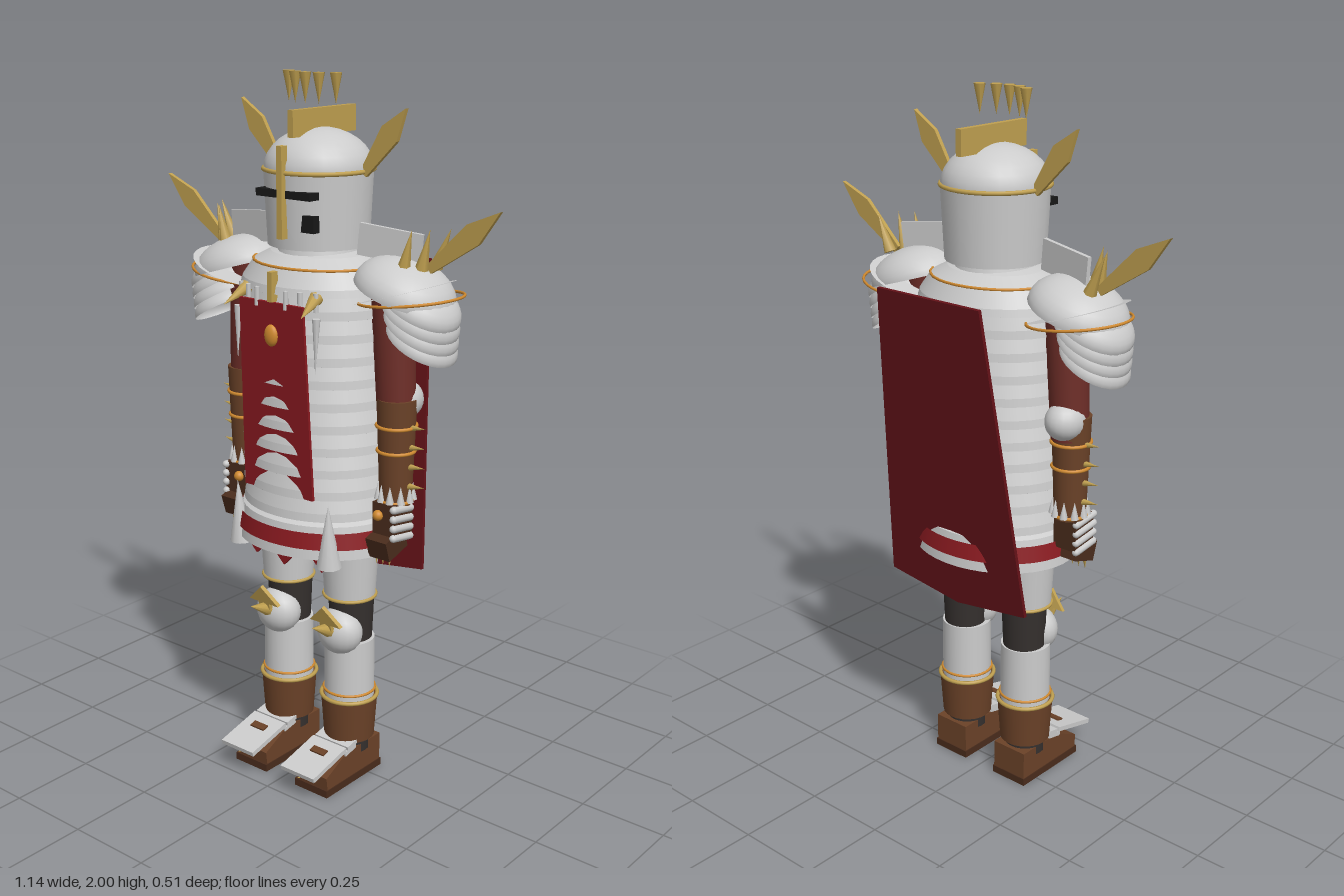
import * as THREE from 'three';

const mat = (color) => new THREE.MeshStandardMaterial({ color, side: THREE.DoubleSide });
const steel = mat(0xcccccc), gold = mat(0xc0a050), orange = mat(0xd08a30), red = mat(0x8a1a20),
  darkRed = mat(0x641218), sleeve = mat(0x6e2e28), leather = mat(0x6b4228), darkLeather = mat(0x4a2c1c),
  cloth = mat(0x35302e), black = mat(0x181818);
const V = (x, y, z) => new THREE.Vector3(x, y, z);

export function createModel() {
  const model = new THREE.Group();
  model.name = 'armouredWarrior';

  const add = (name, geo, material, x = 0, y = 0, z = 0, rx = 0, ry = 0, rz = 0) => {
    const m = new THREE.Mesh(geo, material);
    m.name = name;
    m.position.set(x, y, z);
    m.rotation.set(rx, ry, rz);
    model.add(m);
    return m;
  };
  const box = (w, h, d) => new THREE.BoxGeometry(w, h, d);
  const ball = (r) => new THREE.SphereGeometry(r, 20, 14);
  // Upright tapered tube from y0 to y1
  const tube = (name, material, x, z, y0, y1, r0, r1) =>
    add(name, new THREE.CylinderGeometry(r1, r0, y1 - y0, 24), material, x, (y0 + y1) / 2, z);
  const ring = (name, material, x, y, z, r, t = 0.005) =>
    add(name, new THREE.TorusGeometry(r, t, 8, 32), material, x, y, z, Math.PI / 2);
  // Cone from a base point to a tip
  const spike = (name, material, base, tip, r, sides = 8) => {
    const dir = tip.clone().sub(base);
    const m = add(name, new THREE.ConeGeometry(r, dir.length(), sides), material);
    m.position.copy(base).addScaledVector(dir, 0.5);
    m.quaternion.setFromUnitVectors(V(0, 1, 0), dir.normalize());
    return m;
  };
  // Flat plate cut from an outline, centred in depth
  const plate = (points, depth) => {
    const shape = new THREE.Shape(points.map(([x, y]) => new THREE.Vector2(x, y)));
    return new THREE.ExtrudeGeometry(shape, { depth, bevelEnabled: false }).translate(0, 0, -depth / 2);
  };

  // Torso of overlapping bands, each flaring at its lower edge
  const profile = [[0.215, 0.72], [0.25, 0.72], [0.246, 0.75], [0.232, 0.81]];
  const bands = 10, y0 = 0.82, step = 0.062;
  for (let i = 0; i < bands; i++) {
    const y = y0 + i * step;
    profile.push([0.212, y], [0.227, y + 0.002], [0.224, y + 0.025], [0.212, y + step - 0.001]);
  }
  profile.push([0.228, 1.44], [0.222, 1.46], [0.19, 1.505], [0.14, 1.53], [0.1, 1.54], [0, 1.54]);
  // A doubled point at every corner keeps the band edges crisp
  const crisp = profile.flatMap(([r, y]) => [new THREE.Vector2(r, y), new THREE.Vector2(r, y + 1e-5)]);
  add('bandedTorso', new THREE.LatheGeometry(crisp, 40), steel, 0, 0, 0.015).scale.z = 0.84;
  const belt = add('redBelt', new THREE.CylinderGeometry(0.243, 0.253, 0.045, 40, 1, true), red, 0, 0.772, 0.015);
  belt.scale.z = 0.84;
  const collar = ring('collarTrim', orange, 0, 1.505, 0.015, 0.19, 0.004);
  collar.scale.y = 0.84;

  // Cloth points hanging below the skirt
  for (const z of [0.165, -0.13])
    for (const x of [-0.12, 0, 0.12]) {
      const p = add('skirtPoint', plate([[-0.06, 0.06], [0.06, 0.06], [0, 0]], 0.008), red, x, 0.665, z);
      if (x) p.position.z -= 0.02;
    }

  // Front and back tabards, and the long cape
  const tabard = plate([[-0.11, 1.42], [0.11, 1.42], [0.122, 0.885], [-0.122, 0.885]], 0.008).translate(0, -1.42, 0);
  add('frontTabard', tabard, red, 0, 1.42, 0.21, 0.047);
  add('backTabard', tabard, red, 0, 1.42, -0.18, -0.025);
  const cape = plate([[-0.18, 0], [0.18, 0], [0.25, -0.88], [0, -0.916], [-0.25, -0.88]], 0.01);
  add('cape', cape, darkRed, 0, 1.49, -0.252, -0.12);

  // Chest fittings
  add('tabardGem', ball(0.022), orange, 0, 1.33, 0.212).scale.set(1, 1.35, 0.6);
  add('chestBar', box(0.016, 0.08, 0.025), gold, 0, 1.46, 0.205);
  for (const x of [-0.13, -0.09, -0.05, 0.05, 0.09, 0.13])
    add('chestStud', new THREE.CylinderGeometry(0.007, 0.007, 0.05, 8), steel, x, 1.43, 0.215 - x * x * 1.9);

  // Helmet with dome, brow band, eye slit and crest
  tube('neck', steel, 0, 0.015, 1.5, 1.58, 0.12, 0.1);
  tube('helmet', steel, 0, 0.015, 1.55, 1.75, 0.138, 0.148);
  add('helmetDome', new THREE.SphereGeometry(0.148, 24, 8, 0, Math.PI * 2, 0, Math.PI / 2), steel, 0, 1.75, 0.015)
    .scale.y = 0.73;
  ring('browBand', gold, 0, 1.75, 0.015, 0.148, 0.006);
  add('faceBar', box(0.018, 0.24, 0.022), gold, 0, 1.70, 0.165);
  add('eyeSlit', box(0.185, 0.02, 0.05), black, 0, 1.695, 0.138);
  add('breathHole', box(0.052, 0.045, 0.04), black, 0.065, 1.622, 0.126);
  add('crest', box(0.018, 0.07, 0.26), gold, 0, 1.872, 0);
  for (let i = -2; i <= 2; i++) {
    const z = 0.07 - 0.007 * i * i;
    spike('crownSpike', gold, V(i * 0.04, 2, z), V(i * 0.04, 1.92, z), 0.016);
  }

  for (const s of [1, -1]) {
    const P = (x, y, z) => V(s * x, y, z);
    // Flat pointed blade used for the horns and shoulders
    const blade = (name, x, y, angle, L) => {
      const pts = [[0, -0.012], [0.62 * L, -0.03], [L, 0], [0.62 * L, 0.03], [0, 0.012]];
      add(name, plate(pts, 0.012), gold, s * x, y, 0.005, 0, 0, s > 0 ? angle : Math.PI - angle);
    };
    blade('helmetHorn', 0.145, 1.745, 0.91, 0.22);
    blade('shoulderBlade', 0.36, 1.52, 0.67, 0.27);

    // Shoulder armour: tilted dome over four lames, gold edged
    const dome = (r) => new THREE.SphereGeometry(r, 28, 8, 0, Math.PI * 2, 0, Math.PI / 2);
    add('pauldron', dome(0.142), steel, s * 0.287, 1.452, 0.012, 0, 0, -s * 0.3).scale.set(1, 0.62, 0.92);
    add('pauldronUnderside', new THREE.CircleGeometry(0.14, 28), steel, s * 0.287, 1.452, 0.012, Math.PI / 2, s * 0.3);
    const rim = ring('pauldronTrim', orange, s * 0.3, 1.435, 0, 0.142, 0.004);
    rim.rotation.y = s * 0.12;
    rim.scale.y = 0.95;
    for (let i = 0; i < 4; i++)
      add('shoulderLame', dome(0.118 - 0.005 * i), steel, s * (0.335 + 0.003 * i), 1.425 - 0.033 * i, 0.012, 0, 0, -s * 0.5)
        .scale.set(1, 0.55, 0.95);
    for (const [x, z, tx] of [[0.355, -0.03, 0.4], [0.345, 0.02, 0.37], [0.31, 0.05, 0.335]])
      spike('shoulderSpike', gold, P(x, 1.52, z), P(tx, 1.625, z), 0.018, 6);
    add('neckGuard', box(0.18, 0.085, 0.012), steel, s * 0.24, 1.572, 0.015, 0, s * 0.2, -s * 0.1);

    // Chest spikes and hip cones
    spike('chestSpike', gold, P(0.12, 1.44, 0.17), P(0.135, 1.4, 0.25), 0.02);
    spike('chestPin', steel, P(0.137, 1.39, 0.19), P(0.137, 1.24, 0.195), 0.011);
    spike('hipCone', steel, P(0.16, 0.7, 0.165), P(0.165, 0.88, 0.175), 0.035, 12);

    // Arm: sleeve, elbow cop and bracer
    const upper = tube('upperArm', sleeve, s * 0.258, 0.012, 1.1, 1.48, 0.052, 0.06);
    upper.rotation.z = s * 0.05;
    add('elbowCop', ball(0.058), steel, s * 0.27, 1.155, -0.01).scale.set(0.92, 0.95, 1.1);
    tube('bracer', leather, s * 0.27, 0.015, 0.87, 1.165, 0.044, 0.055);
    for (const [y, r] of [[1.09, 0.054], [1.02, 0.051], [0.88, 0.046]]) ring('bracerBand', orange, s * 0.27, y, 0.015, r, 0.005);
    for (const y of [1.09, 1.035, 0.98, 0.925])
      spike('bracerSpike', gold, P(0.312, y, 0.015), P(0.365, y + 0.005, 0.015), 0.01);
    for (let i = 0; i < 10; i++) {
      const a = (i / 10) * Math.PI * 2, c = Math.cos(a) * 0.047, d = 0.015 + Math.sin(a) * 0.047;
      spike('cuffTooth', steel, V(s * 0.27 + c, 0.88, d), V(s * 0.27 + c, 0.93, d), 0.012, 6);
    }

    // Gauntlet with knuckle plates, gem and fingertip claws
    add('hand', box(0.075, 0.1, 0.08), darkLeather, s * 0.272, 0.83, 0.03);
    add('fingers', box(0.07, 0.06, 0.085), darkLeather, s * 0.268, 0.765, 0.05, 0.3);
    for (let i = 0; i < 4; i++)
      add('knucklePlate', new THREE.CapsuleGeometry(0.011, 0.075, 4, 10), steel, s * 0.307, 0.865 - i * 0.027, 0.035, Math.PI / 2 - 0.15);
    add('gauntletGem', ball(0.015), orange, s * 0.255, 0.845, 0.073);
    for (let i = 0; i < 3; i++)
      spike('claw', gold, P(0.245 + i * 0.022, 0.74, 0.06), P(0.245 + i * 0.022, 0.7, 0.065), 0.007, 6);

    // Leg: thigh plate, padded knee and greave
    const lx = s * 0.115;
    tube('thighPlate', steel, lx, 0.017, 0.56, 0.78, 0.073, 0.086);
    ring('thighTrim', gold, lx, 0.562, 0.017, 0.074);
    tube('kneePadding', cloth, lx, 0.01, 0.42, 0.56, 0.06, 0.066);
    add('kneeCop', ball(0.068), steel, lx, 0.46, 0.062).scale.set(1.03, 1, 0.85);
    spike('kneeSpike', gold, V(lx, 0.475, 0.1), V(lx, 0.51, 0.185), 0.025);
    add('kneeCrest', plate([[-0.055, 0.02], [0, 0.075], [0.055, 0.02], [0.02, 0.02], [0.02, 0], [-0.02, 0], [-0.02, 0.02]], 0.012),
      gold, lx, 0.485, 0.118, 0.25);
    tube('greave', steel, lx, 0.017, 0.24, 0.43, 0.073, 0.072);
    ring('greaveTrim', orange, lx, 0.27, 0.017, 0.074, 0.004);

    // Boot with sole, ankle plates and toe guard
    tube('bootShaft', leather, lx, 0.017, 0.12, 0.25, 0.073, 0.082);
    ring('bootTrim', gold, lx, 0.25, 0.017, 0.081, 0.006);
    tube('ankle', cloth, lx, 0.017, 0.08, 0.125, 0.06, 0.06);
    const foot = plate([[-0.055, 0.02], [0.185, 0.02], [0.19, 0.06], [0.1, 0.105], [-0.055, 0.105]], 0.115);
    add('foot', foot, leather, lx, 0, 0, 0, -Math.PI / 2);
    add('sole', box(0.12, 0.022, 0.25), darkLeather, lx, 0.011, 0.067);
    add('toeGuard', box(0.122, 0.014, 0.15), steel, lx, 0.1, 0.178, 0.24);
    add('toeGuardInlay', box(0.05, 0.006, 0.022), leather, lx, 0.115, 0.155, 0.24);
    for (let i = 0; i < 2; i++) add('ankleLame', box(0.122, 0.012, 0.05), steel, lx, 0.108 + i * 0.014, 0.085 - i * 0.012, 0.2);
    spike('toeSpike', gold, V(lx, 0.06, 0.185), V(lx, 0.07, 0.25), 0.014);
  }
  return model;
}
